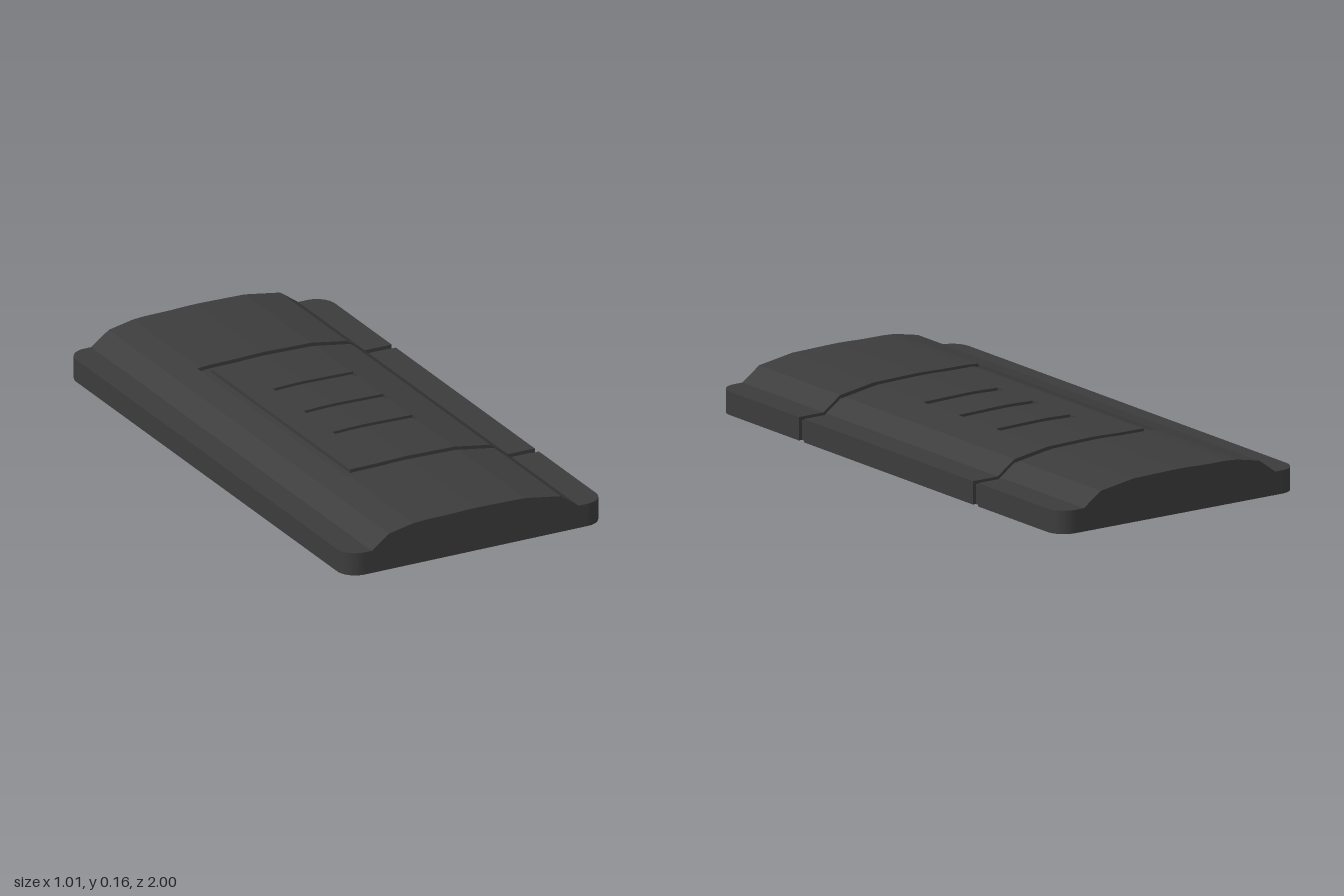
import * as THREE from 'three';

const HALF_W = 0.505, RIM = 0.083, DEPTH = 0.013;
// Crown cross-section, from the model's right to its left
const crown = [
  [-0.408, RIM], [-0.34, 0.133], [-0.245, 0.152], [-0.2, 0.155], [-0.1, 0.156], [-0.05, 0.158],
  [0, 0.159], [0.06, 0.158], [0.19, 0.155], [0.33, 0.133], [0.4, RIM],
];
const profile = [[-HALF_W, RIM], ...crown, [HALF_W, RIM]];

function topAt(x) {
  for (let i = 1; i < profile.length; i++) {
    const [x0, y0] = profile[i - 1], [x1, y1] = profile[i];
    if (x <= x1) return y0 + (y1 - y0) * (x - x0) / (x1 - x0);
  }
  return RIM;
}

// Outline of a slab, with a groove [from, to, depth] sunk into its top
function section(cut) {
  let top = profile;
  if (cut) {
    const [a, b, d] = cut;
    top = [
      ...profile.filter(p => p[0] < a),
      [a, topAt(a)], [a, topAt(a) - d],
      ...profile.filter(p => p[0] > a && p[0] < b).map(([x, y]) => [x, y - d]),
    ];
    // A groove reaching the edge also runs down the side
    if (b >= HALF_W) top.push([HALF_W - d, RIM - d]);
    else top.push([b, topAt(b) - d], [b, topAt(b)], ...profile.filter(p => p[0] > b));
  }
  const pts = [[top[0][0], 0], [top[top.length - 1][0], 0], ...[...top].reverse()];
  return new THREE.Shape(pts.map(p => new THREE.Vector2(...p)));
}

export function createModel() {
  const group = new THREE.Group();
  const casing = new THREE.MeshStandardMaterial({ color: 0x3c3c3c });
  casing.name = 'charcoal casing';

  function add(name, geometry) {
    const mesh = new THREE.Mesh(geometry, casing);
    mesh.name = name;
    group.add(mesh);
    return mesh;
  }
  function slab(name, shape, z0, z1) {
    const geo = new THREE.ExtrudeGeometry(shape, { depth: z1 - z0, bevelEnabled: false });
    return add(name, geo.translate(0, 0, z0));
  }

  const OUT = 0.525, IN = 0.495, R = 0.07;

  // Ends: flat rim with two rounded corners, and the raised crown on it
  const plan = new THREE.Shape();
  plan.moveTo(-HALF_W, -OUT);
  plan.lineTo(-HALF_W, -1 + R);
  plan.absarc(-HALF_W + R, -1 + R, R, Math.PI, Math.PI * 1.5, false);
  plan.lineTo(HALF_W - R, -1);
  plan.absarc(HALF_W - R, -1 + R, R, Math.PI * 1.5, Math.PI * 2, false);
  plan.lineTo(HALF_W, -OUT);
  const rim = new THREE.ExtrudeGeometry(plan, { depth: RIM, bevelEnabled: false, curveSegments: 8 });
  rim.rotateX(-Math.PI / 2);
  add('frontRim', rim);
  add('backRim', rim.clone().rotateY(Math.PI));
  const crownShape = new THREE.Shape([...crown].reverse().map(p => new THREE.Vector2(...p)));
  slab('frontCrown', crownShape, OUT, 1);
  slab('backCrown', crownShape, -1, -OUT);

  // Grooves across the body at both ends of the panel
  const across = section([-0.253, HALF_W, DEPTH]);
  slab('frontGroove', across, IN, OUT);
  slab('backGroove', across, -OUT, -IN);

  // Panel: the body left of the lengthwise groove, the groove floor, and the ribbed cover
  const strip = (a, b, d, cut) => {
    const xs = profile.map(p => p[0]).filter(x => x > a && x < b);
    if (cut) xs.push(cut[0], cut[0] + 1e-4, cut[1] - 1e-4, cut[1]);
    const top = [a, ...xs.sort((p, q) => p - q), b].map(x => {
      const sunk = cut && x > cut[0] && x < cut[1] ? cut[2] : 0;
      return [x, topAt(x) - d - sunk];
    });
    return new THREE.Shape([[a, 0], [b, 0], ...top.reverse()].map(p => new THREE.Vector2(...p)));
  };
  slab('sideBody', strip(-HALF_W, -0.253, 0), -IN, IN);
  slab('lengthGroove', strip(-0.253, -0.217, DEPTH), -IN, IN);

  // Cover alternates between plain stretches and three grip slots
  const plain = strip(-0.217, HALF_W, 0);
  const slotted = strip(-0.217, HALF_W, 0, [-0.115, 0.197, 0.01]);
  let z = -IN;
  for (const centre of [-0.222, -0.003, 0.203]) {
    slab('cover', plain, z, centre - 0.018);
    slab('gripSlot', slotted, centre - 0.018, centre + 0.018);
    z = centre + 0.018;
  }
  slab('cover', plain, z, IN);
  return group;
}
